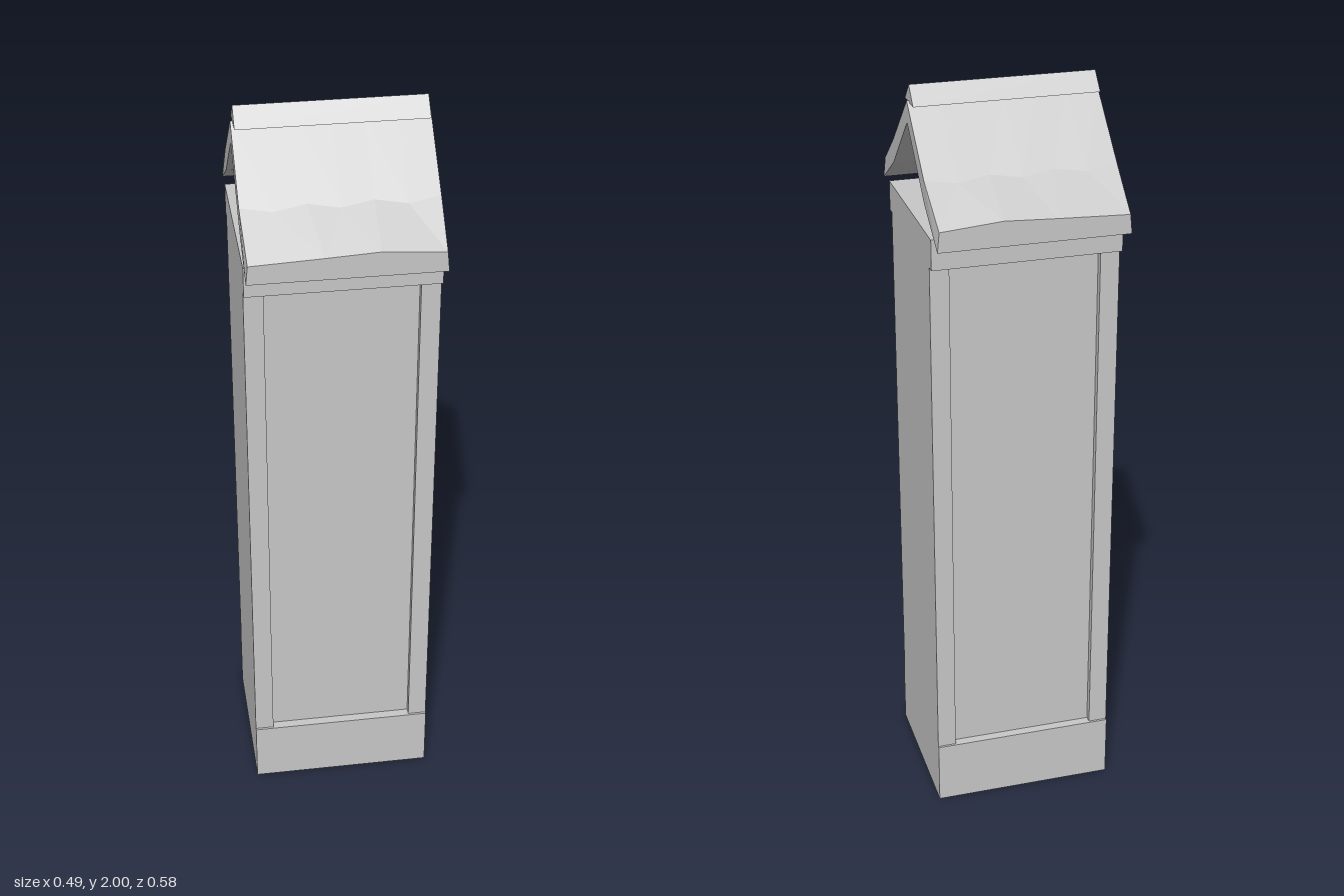
import * as THREE from 'three';

const stone = new THREE.MeshStandardMaterial({ color: 0xc8c8c8, flatShading: true });
stone.name = 'pale stone';

const HALF = 0.245; // half width of the pillar

// Box given by its x range, y range and half depth or z range
function block(name, x0, x1, y0, y1, z0, z1) {
  const mesh = new THREE.Mesh(new THREE.BoxGeometry(x1 - x0, y1 - y0, z1 - z0), stone);
  mesh.position.set((x0 + x1) / 2, (y0 + y1) / 2, (z0 + z1) / 2);
  mesh.name = name;
  return mesh;
}

// One curved roof slope with facets; side is +1 for front, -1 for back
function roofSlope(side) {
  const data = [];
  const tri = (a, b, c) => {
    for (const p of side > 0 ? [a, b, c] : [a, c, b]) data.push(p[0], p[1], p[2] * side);
  };
  const quad = (a, b, c, d) => { tri(a, b, c); tri(a, c, d); };

  // Rows of the upper skin: ridge, bend and eave
  const ridge = [], bend = [];
  for (let i = 0; i < 7; i++) {
    const x = -HALF + (i * 2 * HALF) / 6, odd = i % 2;
    ridge.push([x, 1.96, 0]);
    bend.push(odd ? [x, 1.8, 0.177] : [x, 1.81, 0.165]);
  }
  const eave = [[-0.24, 1.72, 0.29], [-0.055, 1.728, 0.29], [0.08, 1.735, 0.29], [0.24, 1.722, 0.29]];

  for (let i = 0; i < 6; i++) {
    quad(ridge[i], bend[i], bend[i + 1], ridge[i + 1]);
    tri(bend[i], eave[Math.floor((i + 1) / 2)], bend[i + 1]);
  }
  for (let i = 0; i < 3; i++) tri(bend[2 * i + 1], eave[i], eave[i + 1]);

  // Underside, left and right ends of each row
  const low = [[1.905, 0], [1.75, 0.165], [1.67, 0.29]];
  const L = low.map(([y, z]) => [-HALF, y, z]);
  const R = low.map(([y, z]) => [HALF, y, z]);
  for (let i = 0; i < 2; i++) quad(L[i], R[i], R[i + 1], L[i + 1]);

  // Eave edge
  tri(eave[0], L[2], eave[1]);
  tri(eave[1], L[2], eave[2]);
  tri(eave[2], L[2], R[2]);
  tri(eave[2], R[2], eave[3]);

  // Gable edges
  const topL = [ridge[0], bend[0], eave[0]], topR = [ridge[6], bend[6], eave[3]];
  for (let i = 0; i < 2; i++) {
    quad(topL[i], L[i], L[i + 1], topL[i + 1]);
    quad(topR[i], topR[i + 1], R[i + 1], R[i]);
  }

  const geo = new THREE.BufferGeometry();
  geo.setAttribute('position', new THREE.Float32BufferAttribute(data, 3));
  geo.computeVertexNormals();
  const mesh = new THREE.Mesh(geo, stone);
  mesh.name = side > 0 ? 'frontRoofSlope' : 'backRoofSlope';
  return mesh;
}

// Triangular cap along the ridge
function ridgeCap() {
  const shape = new THREE.Shape([
    new THREE.Vector2(-0.043, 1.955),
    new THREE.Vector2(0.043, 1.955),
    new THREE.Vector2(0, 2),
  ]);
  const geo = new THREE.ExtrudeGeometry(shape, { depth: 0.478, bevelEnabled: false });
  geo.translate(0, 0, -0.239).rotateY(Math.PI / 2);
  const mesh = new THREE.Mesh(geo, stone);
  mesh.name = 'ridgeCap';
  return mesh;
}

export function createModel() {
  const model = new THREE.Group();
  model.name = 'roofedPillar';

  model.add(
    block('base', -HALF, HALF, 0, 0.175, -0.21, 0.21),
    block('shaft', -HALF, HALF, 0.175, 1.6, -0.185, 0.185),
    block('capital', -HALF, HALF, 1.6, 1.68, -0.225, 0.225),
  );

  // Corner strips framing the front and back panels
  for (const sx of [-1, 1]) {
    for (const sz of [-1, 1]) {
      const strip = block('cornerStrip', 0.195, HALF, 0.175, 1.6, 0.185, 0.204);
      strip.position.x *= sx;
      strip.position.z *= sz;
      model.add(strip);
    }
  }

  const roof = new THREE.Group();
  roof.name = 'roof';
  roof.add(roofSlope(1), roofSlope(-1), ridgeCap());
  model.add(roof);
  return model;
}
